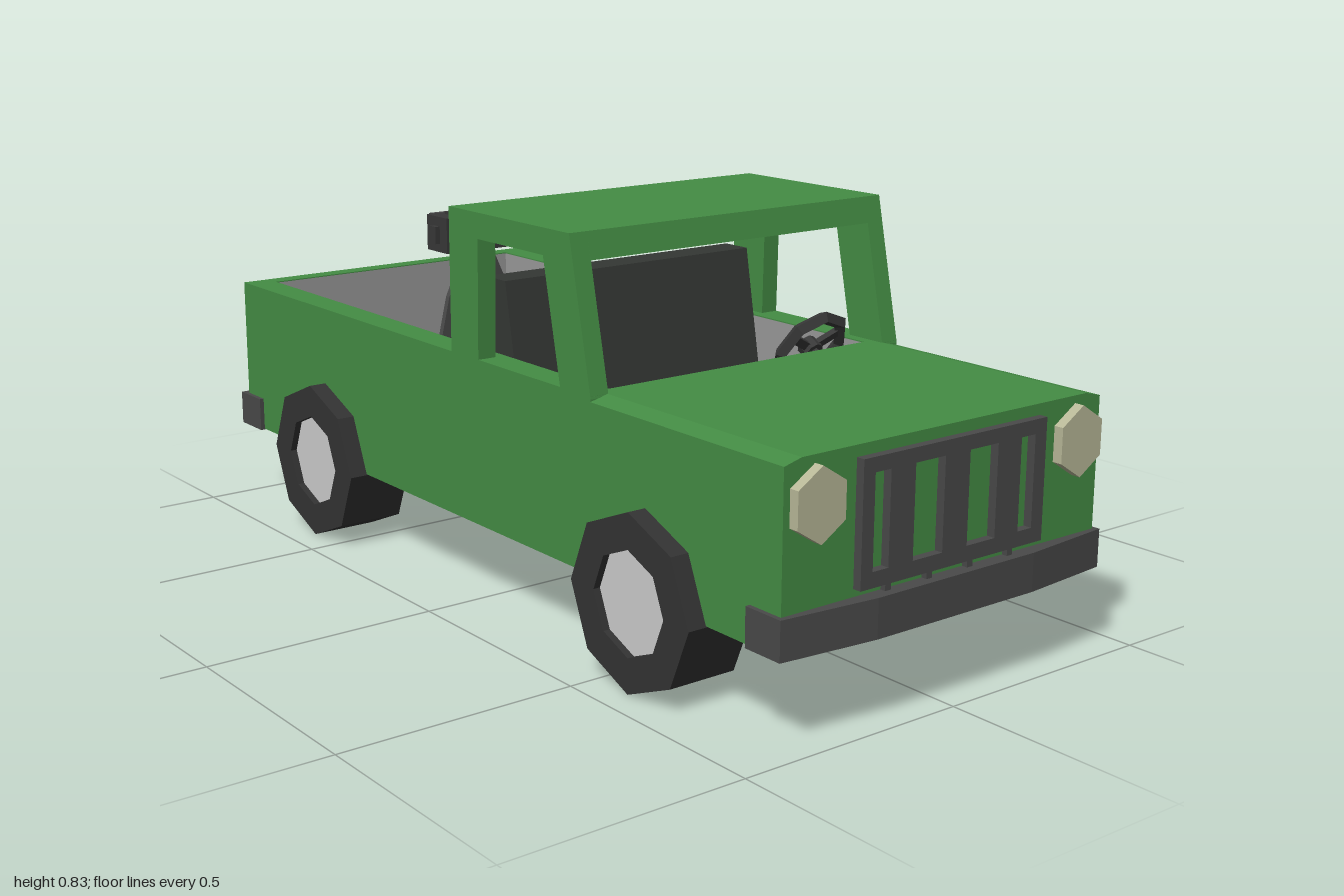
import * as THREE from 'three';

const paint = (color, side = THREE.FrontSide) =>
  new THREE.MeshStandardMaterial({ color, side, flatShading: true });

const GREEN = paint(0x448c44);
const LINER = paint(0x999999);
const LINER_IN = paint(0x999999, THREE.BackSide);
const STEEL = paint(0x494949);
const DARK = paint(0x383838);
const RUBBER = paint(0x333333);
const SEAT = paint(0x343734);
const LAMP = paint(0xb8b898);
const HUB = paint(0xcccccc);

const poly = (pts) => new THREE.Shape(pts.map(([a, b]) => new THREE.Vector2(a, b)));
const rect = (x0, x1, y0, y1) => [[x0, y0], [x1, y0], [x1, y1], [x0, y1]];
const extrude = (pts, holes, depth) => {
  const shape = poly(pts);
  shape.holes = holes.map(poly);
  return new THREE.ExtrudeGeometry(shape, { depth, bevelEnabled: false });
};
// Plan outline (x, z) raised from y0 to y1
const plan = (pts, y0, y1, holes = []) =>
  extrude(pts, holes, y1 - y0).rotateX(Math.PI / 2).translate(0, y1, 0);
// Side outline (z, y) with a width centred on x
const profile = (pts, x, width, holes = []) =>
  extrude(pts, holes, width).rotateY(-Math.PI / 2).translate(x + width / 2, 0, 0);
// Front outline (x, y) pushed from z0 to z1
const section = (pts, z0, z1, holes = []) => extrude(pts, holes, z1 - z0).translate(0, 0, z0);
// Box given by its limits
const block = (x0, x1, y0, y1, z0, z1) =>
  new THREE.BoxGeometry(x1 - x0, y1 - y0, z1 - z0)
    .translate((x0 + x1) / 2, (y0 + y1) / 2, (z0 + z1) / 2);

function add(parent, name, geometry, material) {
  const mesh = new THREE.Mesh(geometry, material);
  mesh.name = name;
  parent.add(mesh);
  return mesh;
}

function addGroup(parent, name) {
  const group = new THREE.Group();
  group.name = name;
  parent.add(group);
  return group;
}

const FLOOR = 0.32, SILL = 0.53;
const BED = [-0.335, 0.335, -0.94, -0.12];
const CAB = [-0.335, 0.335, -0.05, 0.4];

function addBody(model) {
  const body = addGroup(model, 'body');
  add(body, 'underbody', block(-0.4, 0.4, 0.18, FLOOR, -0.98, 0.43), GREEN);
  add(body, 'bodyWalls',
    plan(rect(-0.4, 0.4, -0.98, 0.43), FLOOR, SILL, [rect(...BED), rect(...CAB)]), GREEN);
  add(body, 'hood', section([[-0.4, 0.18], [0.4, 0.18], [0.4, 0.52], [0.36, SILL],
    [-0.36, SILL], [-0.4, 0.52]], 0.43, 0.97), GREEN);

  // Grey linings, open at the top
  for (const [name, [x0, x1, z0, z1]] of [['bedLiner', BED], ['cabLiner', CAB]]) {
    const e = 0.002;
    const g = block(x0 + e, x1 - e, FLOOR + e, SILL - e, z0 + e, z1 - e);
    g.setIndex(Array.from(g.index.array).filter((_, i) => i < 12 || i >= 18));
    g.clearGroups();
    add(body, name, g, LINER_IN);
  }
  for (const s of [-1, 1]) {
    add(body, 'wheelArch', profile([[-0.74, FLOOR], [-0.44, FLOOR], [-0.48, 0.37], [-0.7, 0.37]],
      s * 0.286, 0.095), LINER);
  }
}

function addCab(model) {
  const cab = addGroup(model, 'cab');
  const outline = [[-0.05, SILL - 0.005], [0.431, SILL - 0.005], [0.365, 0.83], [-0.05, 0.83]];
  const opening = [[0.05, SILL], [0.333, SILL], [0.28, 0.777], [0.055, 0.777]];
  for (const s of [-1, 1]) {
    add(cab, 'sideFrame', profile(outline, s * 0.379, 0.042, [opening]), GREEN);
  }
  add(cab, 'roof',
    profile([[-0.05, 0.776], [0.377, 0.776], [0.365, 0.83], [-0.05, 0.83]], 0, 0.718), GREEN);

  // Bench seat
  add(cab, 'seatBack',
    profile([[0.02, FLOOR], [0.1, FLOOR], [0.035, 0.68], [-0.035, 0.68]], 0, 0.645), SEAT);
  add(cab, 'seatCushion', block(-0.322, 0.322, FLOOR, 0.42, 0.03, 0.25), SEAT);

  // Steering wheel, leaning forward at the top
  const steering = addGroup(cab, 'steeringWheel');
  steering.position.set(0.205, 0.53, 0.375);
  steering.rotation.x = 0.5;
  add(steering, 'rim', new THREE.TorusGeometry(0.081, 0.015, 4, 8), DARK);
  add(steering, 'hub', new THREE.CylinderGeometry(0.022, 0.022, 0.03, 8).rotateX(Math.PI / 2), DARK);
  for (const a of [0.52, 2.62, 4.71]) {
    add(steering, 'spoke', block(0, 0.08, -0.009, 0.009, -0.006, 0.006).rotateZ(a), DARK);
  }
  add(steering, 'column',
    new THREE.CylinderGeometry(0.012, 0.012, 0.1, 6).rotateX(Math.PI / 2).translate(0, 0, 0.05), DARK);
}

function addFrontAndBumpers(model) {
  const front = addGroup(model, 'frontFittings');
  const slots = [[-0.205, -0.167], [-0.107, -0.033], [0.03, 0.103], [0.165, 0.202]]
    .map(([a, b]) => rect(a, b, 0.3, 0.48));
  add(front, 'grille', section(rect(-0.233, 0.232, 0.27, 0.508), 0.965, 0.988, slots), STEEL);
  for (const x of [-0.16, -0.057, 0.047, 0.153]) {
    add(front, 'grilleTab', block(x - 0.007, x + 0.007, 0.25, 0.275, 0.965, 0.982), STEEL);
  }
  for (const s of [-1, 1]) {
    const lamp = new THREE.CylinderGeometry(0.07, 0.07, 0.025, 6).scale(1, 1, 1)
      .rotateX(Math.PI / 2).scale(0.91, 1, 1).translate(s * 0.33, 0.445, 0.978);
    add(front, 'headlight', lamp, LAMP);
  }
  // Bumpers wrap a little way round the corners
  add(model, 'frontBumper', plan([[0.39, 0.89], [0.41, 0.89], [0.41, 0.98], [0.2, 1], [-0.2, 1],
    [-0.41, 0.98], [-0.41, 0.89], [-0.39, 0.89], [-0.39, 0.96], [0.39, 0.96]], 0.178, 0.255), STEEL);
  add(model, 'rearBumper', plan([[0.39, -0.905], [0.41, -0.905], [0.41, -1], [-0.41, -1],
    [-0.41, -0.905], [-0.39, -0.905], [-0.39, -0.97], [0.39, -0.97]], 0.178, 0.255), STEEL);
}

function addWheels(model) {
  const ring = [[0.105, -0.055], [0.105, -0.075], [0.177, -0.075],
    [0.177, 0.075], [0.105, 0.075], [0.105, 0.055]].map(([r, y]) => new THREE.Vector2(r, y));
  const tire = new THREE.LatheGeometry(ring, 8).rotateZ(Math.PI / 2);
  const hub = new THREE.CylinderGeometry(0.107, 0.107, 0.12, 8).rotateZ(Math.PI / 2);
  for (const [name, z] of [['frontWheel', 0.597], ['rearWheel', -0.592]]) {
    for (const s of [-1, 1]) {
      const wheel = addGroup(model, name);
      wheel.position.set(s * 0.365, 0.178, z);
      add(wheel, 'tire', tire, RUBBER);
      add(wheel, 'wheelHub', hub, HUB);
    }
  }
}

function addMountedGun(model) {
  const gun = addGroup(model, 'mountedGun');
  gun.position.set(0, 0, -0.53);
  // Pedestal of crossed fins round a post
  const fin = [[-0.135, FLOOR], [0.135, FLOOR], [0.085, SILL], [0.035, 0.64], [-0.035, 0.64], [-0.085, SILL]];
  for (const a of [0, Math.PI / 2]) {
    add(gun, 'pedestalFin', profile(fin, 0, 0.014).rotateY(a).translate(-0.02, 0, 0), STEEL);
  }
  add(gun, 'pedestalPost',
    new THREE.CylinderGeometry(0.03, 0.06, 0.33, 4).rotateY(Math.PI / 4).translate(-0.02, 0.485, 0), STEEL);

  // Receiver and fittings
  add(gun, 'receiver', block(-0.13, 0.1, 0.64, 0.722, -0.042, 0.042), DARK);
  add(gun, 'topCover', block(-0.095, 0.068, 0.72, 0.728, -0.02, 0.02), DARK);
  add(gun, 'rearSight', block(-0.086, -0.06, 0.725, 0.74, -0.01, 0.01), DARK);
  add(gun, 'ejectionPort', block(-0.05, 0.01, 0.685, 0.703, 0.04, 0.045), DARK);
  add(gun, 'grip', block(-0.142, -0.125, 0.66, 0.7, -0.012, 0.012), DARK);
  add(gun, 'ammunitionBox',
    profile([[-0.158, 0.657], [-0.04, 0.652], [-0.04, 0.712], [-0.158, 0.703]], -0.024, 0.058), STEEL);

  // Barrel pointing to the vehicle's left
  add(gun, 'barrelShroud', block(0.1, 0.236, 0.662, 0.698, -0.017, 0.017), DARK);
  add(gun, 'barrel',
    new THREE.CylinderGeometry(0.009, 0.009, 0.17, 6).rotateZ(Math.PI / 2).translate(0.31, 0.677, 0), DARK);
  add(gun, 'muzzle', block(0.376, 0.402, 0.664, 0.69, -0.014, 0.014), DARK);
}

export function createModel() {
  const model = new THREE.Group();
  model.name = 'pickupTruck';
  addBody(model);
  addCab(model);
  addFrontAndBumpers(model);
  addWheels(model);
  addMountedGun(model);
  return model;
}
